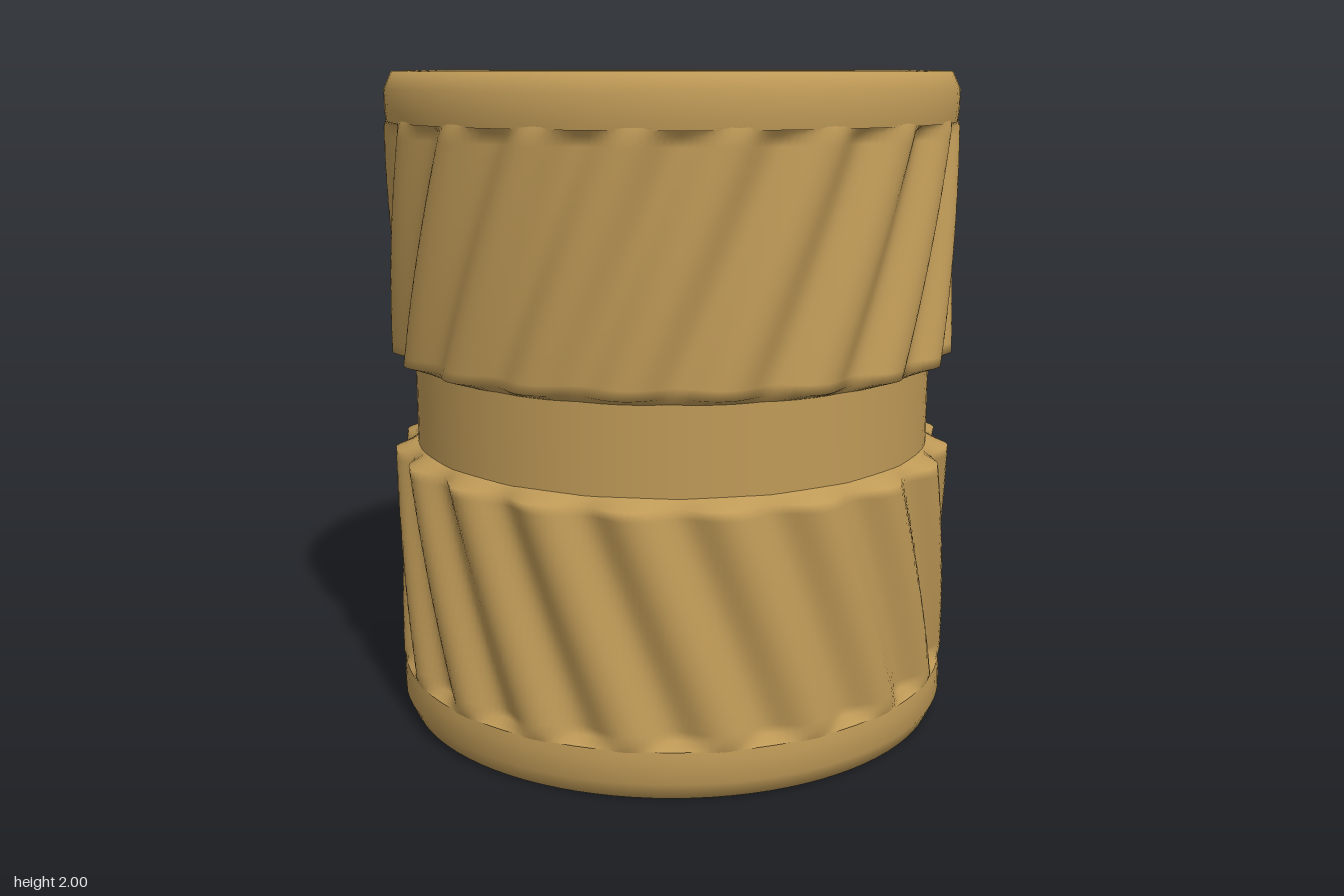
import * as THREE from 'three';

const brass = new THREE.MeshStandardMaterial({ color: 0xbf9a57 });
brass.name = 'brass';

const TEETH = 20;
const OUTER = 0.88;
const NECK = 0.81;
const BORE = 0.562;
const THREAD_DEPTH = 0.062;
const THREAD_START = 0.11;
const PITCH = 0.2;

// Closed ring surface: one row per height, radius given by a rule
function ringSurface(name, heights, segments, radius, inward = false) {
  const pos = [];
  const index = [];
  heights.forEach((y, j) => {
    for (let i = 0; i < segments; i++) {
      const a = (i / segments) * Math.PI * 2;
      const r = radius(a, y, j);
      pos.push(r * Math.sin(a), y, r * Math.cos(a));
    }
  });
  for (let j = 0; j < heights.length - 1; j++) {
    for (let i = 0; i < segments; i++) {
      const n = (i + 1) % segments;
      const a = j * segments + i, b = j * segments + n;
      const c = b + segments, d = a + segments;
      if (inward) index.push(a, c, b, a, d, c);
      else index.push(a, b, c, a, c, d);
    }
  }
  const geo = new THREE.BufferGeometry();
  geo.setAttribute('position', new THREE.Float32BufferAttribute(pos, 3));
  geo.setIndex(index);
  geo.computeVertexNormals();
  const mesh = new THREE.Mesh(geo, brass);
  mesh.name = name;
  return mesh;
}

function lathe(name, points) {
  const profile = points.map(([r, y]) => new THREE.Vector2(r, y));
  const mesh = new THREE.Mesh(new THREE.LatheGeometry(profile, 96), brass);
  mesh.name = name;
  return mesh;
}

// Evenly spaced heights
const span = (y0, y1, n) => Array.from({ length: n + 1 }, (_, i) => y0 + ((y1 - y0) * i) / n);

// Band of slanted teeth; one end drops to the neck, the other fades into a collar
function knurlBand(name, y0, y1, twist, phase, neckBelow) {
  const edge = 0.025;
  const heights = [y0, ...span(y0 + edge, y1 - edge, 24), y1];
  const last = heights.length - 1;
  const neckRow = neckBelow ? 0 : last;
  const collarRow = neckBelow ? last : 0;
  return ringSurface(name, heights, TEETH * 14, (a, y, j) => {
    if (j === neckRow) return NECK - 0.005;
    if (j === collarRow) return OUTER - 0.008;
    const wave = 0.5 + 0.5 * Math.cos(TEETH * (a - phase - twist * (y - y0)));
    return OUTER - 0.045 * Math.pow(wave, 1.2);
  });
}

export function createModel() {
  const group = new THREE.Group();
  group.name = 'threadedInsert';

  // Rounded end collars with a countersunk mouth, the lower one mirrored
  const rim = [
    [OUTER - 0.008, 1.85], [0.876, 1.88], [0.877, 1.945], [0.853, 1.997],
    [0.8, 2], [0.73, 1.998], [0.67, 1.99], [0.622, 1.97],
  ];
  const mouth = [[0.622, 1.97], [0.59, 1.93], [BORE, 2 - THREAD_START]];
  const flip = (points) => points.map(([r, y]) => [r, 2 - y]).reverse();
  group.add(lathe('upperCollar', rim), lathe('upperMouth', mouth));
  group.add(lathe('lowerCollar', flip(rim)), lathe('lowerMouth', flip(mouth)));

  // Opposed slanted teeth above and below the neck
  group.add(knurlBand('upperKnurl', 1.12, 1.86, 0.5, 0.18, true));
  group.add(knurlBand('lowerKnurl', 0.145, 0.865, -0.47, 0.22, false));
  group.add(lathe('neck', [[NECK, 0.8], [NECK, 1.2]]));

  // Helical thread inside the bore, faded out at both ends
  group.add(ringSurface('boreThread', span(THREAD_START, 2 - THREAD_START, 216), 72, (a, y) => {
    const turn = y / PITCH - a / (Math.PI * 2);
    const p = Math.abs(2 * (turn - Math.floor(turn)) - 1);
    const crest = THREE.MathUtils.smoothstep(p, 0.15, 0.6);
    const fade = THREE.MathUtils.smoothstep(Math.min(y, 2 - y) - THREAD_START, 0, 0.08);
    return BORE - THREAD_DEPTH * crest * fade;
  }, true));

  return group;
}
